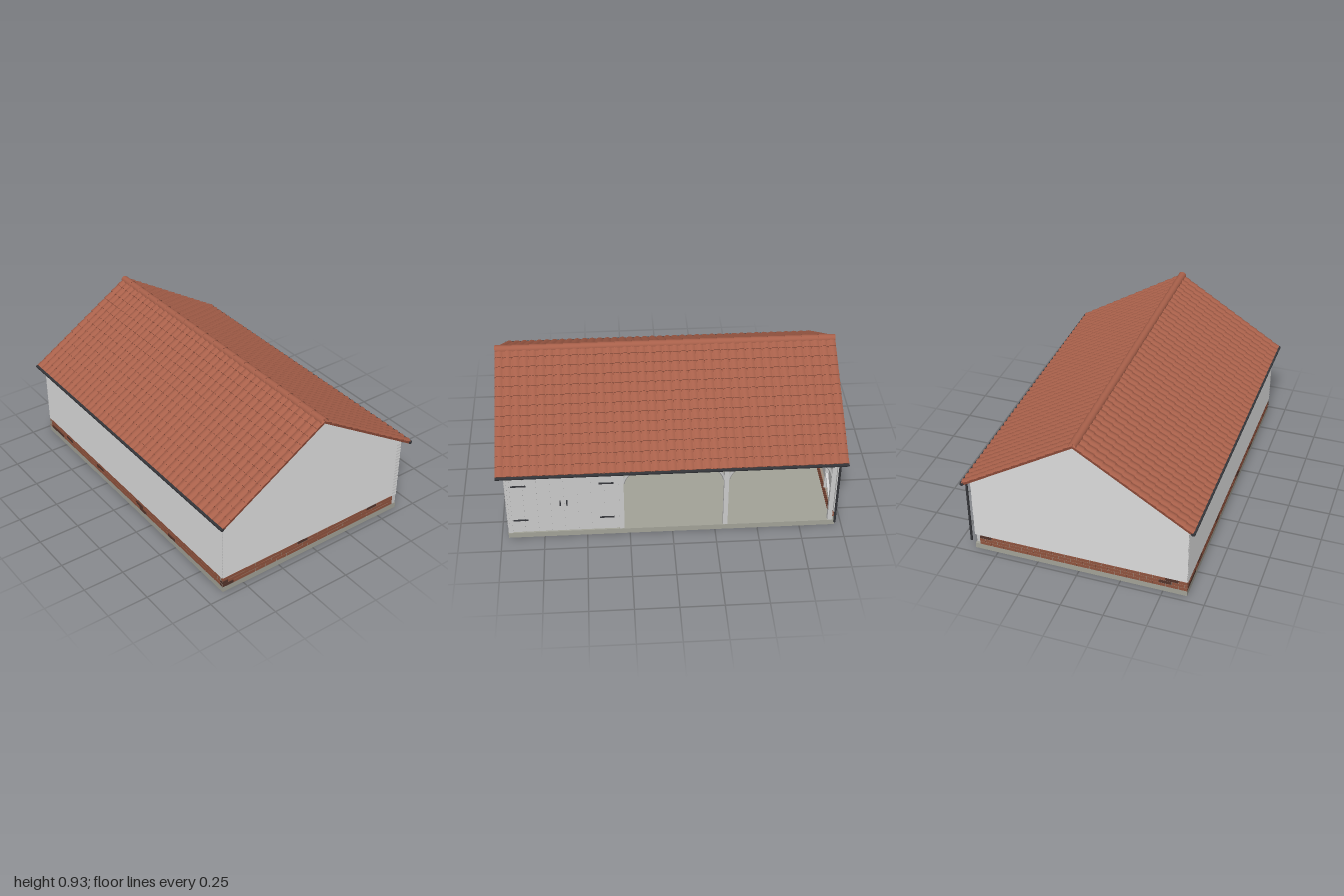
import * as THREE from 'three';
import { mergeGeometries } from 'three/addons/utils/BufferGeometryUtils.js';

const SLOPE = 0.62, ANGLE = Math.atan(SLOPE), RAFTER = 0.67 / Math.cos(ANGLE);
const mat = (color, side = THREE.FrontSide) => new THREE.MeshStandardMaterial({ color, side });

export function createModel() {
  const model = new THREE.Group();
  const grey = mat(0xcccccc), concrete = mat(0xa3a398), dark = mat(0x35363a);
  const brickRed = mat(0x90543f), brickDark = mat(0x54342b), mortar = mat(0x9d9184);
  const tile = mat(0xa8604a, THREE.DoubleSide), tileDeck = mat(0x8a4a38);

  let seed = 7;
  const random = () => (seed = (seed * 16807) % 2147483647) / 2147483647;

  const add = (name, geometries, material) => {
    const mesh = new THREE.Mesh(mergeGeometries(geometries), material);
    mesh.name = name;
    model.add(mesh);
  };
  // Box given by its lower and upper corner
  const box = (x0, x1, y0, y1, z0, z1) => new THREE.BoxGeometry(x1 - x0, y1 - y0, z1 - z0)
    .translate((x0 + x1) / 2, (y0 + y1) / 2, (z0 + z1) / 2);
  // Square timber between two points
  const beam = (a, b, t) => {
    const from = new THREE.Vector3(...a), to = new THREE.Vector3(...b);
    const dummy = new THREE.Object3D();
    dummy.position.copy(from).add(to).multiplyScalar(0.5);
    dummy.lookAt(to);
    dummy.updateMatrix();
    return new THREE.BoxGeometry(t, t, from.distanceTo(to)).applyMatrix4(dummy.matrix);
  };
  // Walls are made along x facing +z, then turned and moved into place
  const place = (list, turn, x, z) => list.map(g => g.rotateY(turn).translate(x, 0, z));

  // Overlapping weatherboards, narrowing with halfWidth(y)
  const boards = (halfWidth, y0, y1) => {
    const list = [], count = Math.round((y1 - y0) / 0.0205), h = (y1 - y0) / count;
    for (let i = 0; i < count; i++) {
      const y = y0 + i * h, g = new THREE.BoxGeometry(1, h, 1), p = g.attributes.position;
      for (let k = 0; k < p.count; k++) {
        const top = p.getY(k) > 0;
        p.setX(k, Math.sign(p.getX(k)) * halfWidth(top ? y + h : y));
        p.setZ(k, p.getZ(k) > 0 ? (top ? 0.001 : 0.006) : -0.008);
      }
      g.computeVertexNormals();
      list.push(g.translate(0, y + h / 2, 0));
    }
    return list;
  };
  const gable = y => Math.max(0.004, Math.min(0.64, (0.889 - y) / SLOPE));

  // Brick plinth: three courses in running bond with a mortar core
  const reds = [], darks = [], cores = [];
  const plinth = (x0, x1, turn, x, z) => {
    const L = 0.075, h = 0.0217, gap = 0.003;
    cores.push(...place([box(x0, x1, 0.035, 0.1, -0.027, -0.002)], turn, x, z));
    for (let row = 0; row < 3; row++) {
      for (let s = x0 - (row % 2) * L / 2; s < x1; s += L) {
        const a = Math.max(s, x0), b = Math.min(s + L - gap, x1);
        if (b - a < 0.005) continue;
        const g = box(a, b, 0.035 + row * h, 0.035 + (row + 1) * h - gap, -0.029, 0);
        (random() < 0.1 ? darks : reds).push(...place([g], turn, x, z));
      }
    }
  };
  plinth(-0.64, 0.61, 0, 0, 0.96);
  plinth(-0.61, 0.64, Math.PI, 0, -0.96);
  plinth(-0.93, 0.93, -Math.PI / 2, -0.64, 0);
  add('redBricks', reds, brickRed);
  add('darkBricks', darks, brickDark);
  add('mortar', cores, mortar);

  add('floorSlab', [box(-0.64, 0.64, 0, 0.035, -0.96, 0.96)], concrete);

  // Walls
  add('frontGable', place(boards(gable, 0.1, 0.88), 0, 0, 0.955), grey);
  add('backGable', place(boards(gable, 0.1, 0.88), Math.PI, 0, -0.955), grey);
  add('rightWall', place(boards(() => 0.955, 0.1, 0.485), -Math.PI / 2, -0.638, 0), grey);
  add('partition', place(boards(y => Math.min(0.62, gable(y)), 0.035, 0.88), Math.PI, 0, 0.305), grey);

  // Open side: posts, header and arched braces
  const posts = [0.295, -0.31, -0.93], frame = [];
  for (const z of [0.945, ...posts]) frame.push(box(0.61, 0.637, 0.035, 0.47, z - 0.0135, z + 0.0135));
  frame.push(box(0.605, 0.637, 0.462, 0.487, -0.95, 0.95));
  const brace = (z, dir) => {
    const v = (dz, y) => new THREE.Vector3(0.623, y, z + dir * dz);
    const curve = new THREE.QuadraticBezierCurve3(v(0.012, 0.37), v(0.025, 0.45), v(0.11, 0.464));
    frame.push(new THREE.TubeGeometry(curve, 10, 0.009, 4));
  };
  brace(0.295, -1); brace(-0.31, 1); brace(-0.31, -1); brace(-0.93, 1);
  add('openSideFrame', frame, grey);

  // Inner studs, diagonals and tie beams
  const studs = [], xi = -0.622;
  for (const z of [0.295, 0.11, -0.1, -0.31, -0.52, -0.73, -0.93]) {
    const w = posts.includes(z) ? 0.0125 : 0.006;
    studs.push(box(xi - 0.01, xi + 0.012, posts.includes(z) ? 0.035 : 0.1, 0.48, z - w, z + w));
  }
  for (const z of [0.28, -0.33]) studs.push(beam([xi + 0.005, 0.105, z], [xi + 0.005, 0.46, z - 0.57], 0.014));
  for (const x of [-0.42, -0.21, 0, 0.21, 0.42]) studs.push(box(x - 0.006, x + 0.006, 0.1, 0.46, -0.947, -0.925));
  for (const s of [-1, 1]) studs.push(beam([s * 0.59, 0.105, -0.936], [s * 0.03, 0.455, -0.936], 0.014));
  for (const z of [-0.31, -0.93]) {
    studs.push(box(-0.62, 0.61, 0.455, 0.48, z - 0.0125, z + 0.0125));
    studs.push(beam([0, 0.47, z], [0, 0.86, z], 0.022));
    for (const s of [-1, 1]) studs.push(beam([s * 0.62, 0.37, z], [s * 0.52, 0.46, z], 0.016));
  }
  studs.push(box(-0.632, -0.605, 0.462, 0.487, -0.945, 0.945));
  add('innerFrame', studs, grey);

  // Rafters, purlins and ridge beam
  const roofFrame = [box(-0.01, 0.01, 0.845, 0.88, -0.94, 0.94)];
  for (const s of [-1, 1]) {
    for (let i = -3; i <= 3; i++) roofFrame.push(beam([0, 0.88, i * 0.31], [s * 0.63, 0.88 - 0.63 * SLOPE, i * 0.31], 0.018));
    for (const x of [0.22, 0.43]) roofFrame.push(beam([s * x, 0.862 - x * SLOPE, -0.94], [s * x, 0.862 - x * SLOPE, 0.94], 0.022));
  }
  add('roofTimbers', roofFrame, grey);

  // Planked double doors with straps and handles
  const planks = [], iron = [];
  for (let i = 0; i < 8; i++) {
    const z = 0.314 + i * 0.0775;
    planks.push(box(0.612, 0.634, 0.038, 0.463, z + 0.001, z + 0.0765));
  }
  add('doorBacking', [box(0.608, 0.630, 0.038, 0.463, 0.31, 0.935)], grey);
  add('doors', planks, grey);
  for (const y of [0.13, 0.388]) {
    iron.push(box(0.63, 0.639, y - 0.004, y + 0.004, 0.838, 0.924));
    iron.push(box(0.63, 0.639, y - 0.004, y + 0.004, 0.338, 0.424));
  }
  for (const z of [0.648, 0.61]) iron.push(box(0.63, 0.644, 0.235, 0.27, z - 0.0035, z + 0.0035));
  add('doorIronwork', iron, dark);

  // Pantile courses: one rippled strip with a lip, repeated down the slope
  const courses = 13, step = RAFTER / courses, columns = 41, tileWidth = 2 / columns, lift = 0.006;
  const ripple = (g, rise) => {
    const p = g.attributes.position;
    for (let i = 0; i < p.count; i++) {
      const wave = 0.009 * Math.abs(Math.sin(Math.PI * (p.getZ(i) + 1) / tileWidth));
      p.setY(i, p.getY(i) + wave + (rise && p.getX(i) > 0 ? lift : 0));
    }
    g.computeVertexNormals();
    return g;
  };
  const strip = ripple(new THREE.PlaneGeometry(step, 2, 1, columns * 8).rotateX(-Math.PI / 2), true);
  const lip = ripple(new THREE.PlaneGeometry(2, lift, columns * 8, 1).rotateY(Math.PI / 2), false)
    .translate(step / 2, lift / 2, 0);
  const course = mergeGeometries([strip, lip]);
  const slopeTiles = [];
  for (let i = 0; i < courses; i++) slopeTiles.push(course.clone().translate((i + 0.5) * step, 0, 0));
  const tiles = mergeGeometries(slopeTiles).rotateZ(-ANGLE).translate(0, 0.905, 0);
  const deck = box(0, RAFTER, -0.013, 0, -0.999, 0.999).rotateZ(-ANGLE).translate(0, 0.907, 0);
  add('roofTiles', [tiles, tiles.clone().rotateY(Math.PI)], tile);
  add('roofDeck', [deck, deck.clone().rotateY(Math.PI)], tileDeck);

  // Overlapping half-round ridge tiles
  const ridge = [];
  for (let i = 0; i < 20; i++) {
    ridge.push(new THREE.CylinderGeometry(0.026, 0.022, 0.1, 12, 1, true, Math.PI / 2, Math.PI)
      .rotateX(Math.PI / 2).translate(0, 0.899, -0.95 + i * 0.1));
  }
  add('ridgeTiles', ridge, tile);

  // Half-round gutters along both eaves, with one downpipe
  const gutters = [];
  for (const s of [-1, 1]) {
    gutters.push(new THREE.CylinderGeometry(0.012, 0.012, 2, 10, 1, false, -Math.PI / 2, Math.PI)
      .rotateX(Math.PI / 2).translate(s * 0.673, 0.486, 0));
    gutters.push(box(s * 0.673 - 0.012, s * 0.673 + 0.012, 0.484, 0.491, -1, 1));
  }
  add('gutters', gutters, dark);
  add('downpipe', [new THREE.CylinderGeometry(0.007, 0.007, 0.435, 10).translate(0.667, 0.2625, -0.953)], dark);

  return model;
}
